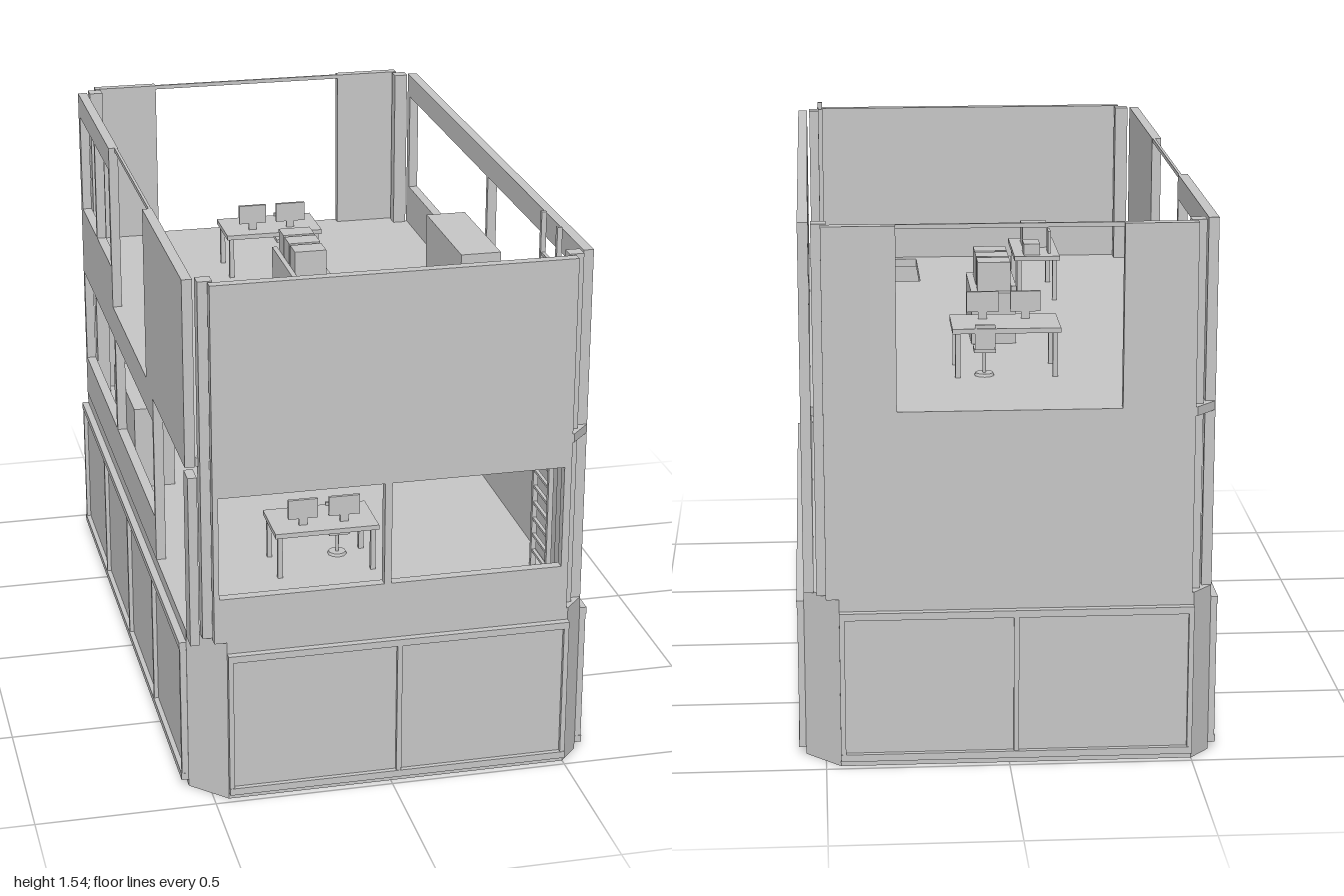
import * as THREE from 'three';

const FLOOR1 = 0.48, FLOOR2 = 1.0, TOP = 1.5;

export function createModel() {
  const root = new THREE.Group();
  root.name = 'building';
  const grey = new THREE.MeshStandardMaterial({ color: 0xc6c6c6 });
  grey.name = 'grey';

  // box given by its min and max on each axis
  function box(parent, name, x0, x1, y0, y1, z0, z1) {
    const m = new THREE.Mesh(new THREE.BoxGeometry(x1 - x0, y1 - y0, z1 - z0), grey);
    m.position.set((x0 + x1) / 2, (y0 + y1) / 2, (z0 + z1) / 2);
    m.name = name;
    parent.add(m);
    return m;
  }
  function group(name, parent = root) {
    const g = new THREE.Group();
    g.name = name;
    parent.add(g);
    return g;
  }
  const rect = (C, u0, u1, v0, v1) => {
    const p = new C();
    p.moveTo(u0, v0); p.lineTo(u1, v0); p.lineTo(u1, v1); p.lineTo(u0, v1); p.closePath();
    return p;
  };

  // upright wall with rectangular holes; side walls run along z
  function wall(name, u, v, holes, outer, alongZ) {
    const s = rect(THREE.Shape, u[0], u[1], v[0], v[1]);
    holes.forEach(h => s.holes.push(rect(THREE.Path, ...h)));
    const m = new THREE.Mesh(new THREE.ExtrudeGeometry(s, { depth: 0.028, bevelEnabled: false }), grey);
    if (alongZ) { m.rotation.y = -Math.PI / 2; m.position.x = outer; }
    else m.position.z = outer - 0.028;
    m.name = name;
    root.add(m);
  }

  // chamfered footprint, two corners cut wider than the others
  function plate(name, y0, y1, hole) {
    const pts = [[0.5, 0.98], [0.555, 0.92], [0.555, -0.885], [0.46, -0.98],
      [-0.5, -0.98], [-0.555, -0.92], [-0.555, 0.885], [-0.46, 0.98]];
    const s = new THREE.Shape(pts.map(p => new THREE.Vector2(...p)));
    if (hole) s.holes.push(rect(THREE.Path, ...hole));
    const m = new THREE.Mesh(new THREE.ExtrudeGeometry(s, { depth: y1 - y0, bevelEnabled: false }), grey);
    m.rotation.x = Math.PI / 2;
    m.position.y = y1;
    m.name = name;
    root.add(m);
  }
  plate('base', 0, FLOOR1);
  plate('upperFloor', 0.975, FLOOR2, [0.175, 0.505, 0.59, 0.925]);

  // framed panels round the base, repeated by a half turn
  for (let k = 0; k < 2; k++) {
    const g = group(k ? 'backAndRightFrames' : 'frontAndLeftFrames');
    g.rotation.y = k * Math.PI;
    for (const [a, b] of [[0.02, 0.04], [0.425, 0.445]]) {
      box(g, 'endRail', -0.46, 0.5, a, b, 0.975, 1);
      box(g, 'sideRail', 0.55, 0.575, a, b, -0.885, 0.92);
    }
    for (const x of [-0.453, 0.018, 0.493]) box(g, 'endStile', x - 0.007, x + 0.007, 0.02, 0.445, 0.975, 0.998);
    for (const z of [-0.877, -0.422, 0.02, 0.467, 0.912])
      box(g, 'sideStile', 0.55, 0.573, 0.02, 0.445, z - 0.007, z + 0.007);
    box(g, 'endPanel', -0.45, 0.49, 0.03, 0.435, 0.975, 0.986);
    box(g, 'sidePanel', 0.55, 0.561, 0.03, 0.435, -0.88, 0.915);
  }

  // outer walls
  wall('frontWall', [-0.495, 0.495], [FLOOR1, TOP],
    [[-0.48, -0.025, 0.61, 0.905], [-0.005, 0.475, 0.61, 0.905]], 0.983);
  wall('leftWall', [-0.92, 0.92], [FLOOR1, TOP],
    [[-0.89, 0.002, 1.125, 1.43], [0.018, 0.9, 1.125, 1.43]], 0.555, true);
  wall('backLowerWall', [-0.495, 0.495], [FLOOR1, FLOOR2], [], -0.955);
  wall('backUpperWall', [-0.495, -0.3], [FLOOR2, TOP], [], -0.955);
  wall('backUpperWall', [0.3, 0.495], [FLOOR2, TOP], [], -0.955);
  box(root, 'backLintel', -0.3, 0.3, 1.488, TOP, -0.965, -0.957);
  wall('rightLowerWall', [-0.92, 0.42], [FLOOR1, FLOOR2],
    [[-0.9, -0.28, 0.61, 0.905], [-0.262, 0.405, 0.61, 0.905]], -0.528, true);
  wall('rightUpperWall', [-0.92, -0.292], [FLOOR2, TOP],
    [[-0.89, -0.6, 1.125, 1.43], [-0.584, -0.31, 1.125, 1.43]], -0.528, true);
  wall('rightUpperWall', [0.31, 0.92], [0.975, TOP], [], -0.528, true);
  box(root, 'rightLintel', -0.538, -0.53, 1.488, TOP, -0.292, 0.31);
  box(root, 'openDoorEdge', -0.56, -0.535, FLOOR1, 0.97, 0.92, 0.98);

  // corner columns
  for (const x of [-0.5, 0.5]) for (const z of [-0.925, 0.925])
    box(root, 'cornerColumn', x - 0.02, x + 0.02, FLOOR1, TOP, z - 0.02, z + 0.02);

  // ladder through the hatch
  const ladder = group('ladder');
  for (const z of [0.693, 0.833]) box(ladder, 'ladderRail', 0.478, 0.492, FLOOR1, 1.54, z - 0.007, z + 0.007);
  for (let y = 0.53; y < 1.45; y += 0.0495) box(ladder, 'rung', 0.48, 0.49, y - 0.004, y + 0.004, 0.695, 0.83);

  // furniture, each built round its own floor centre
  function place(name, x, y, z, turn = 0) {
    const g = group(name);
    g.position.set(x, y, z);
    g.rotation.y = turn;
    return g;
  }
  function desk(g, w, d) {
    box(g, 'deskTop', -w / 2, w / 2, 0.126, 0.14, -d / 2, d / 2);
    for (const sx of [-1, 1]) for (const sz of [-1, 1]) {
      const x = sx * (w / 2 - 0.015), z = sz * (d / 2 - 0.015);
      box(g, 'deskLeg', x - 0.007, x + 0.007, 0, 0.126, z - 0.007, z + 0.007);
    }
  }
  function chair(g, x, z) {
    const post = new THREE.Mesh(new THREE.CylinderGeometry(0.005, 0.005, 0.07, 8), grey);
    post.position.set(x, 0.035, z);
    post.name = 'chairPost';
    g.add(post);
    const foot = new THREE.Mesh(new THREE.CylinderGeometry(0.025, 0.028, 0.008, 10), grey);
    foot.position.set(x, 0.004, z);
    foot.name = 'chairFoot';
    g.add(foot);
    box(g, 'chairSeat', x - 0.03, x + 0.03, 0.07, 0.08, z - 0.03, z + 0.03);
    box(g, 'chairBack', x - 0.028, x + 0.028, 0.08, 0.15, z - 0.034, z - 0.027);
  }
  function screen(g, x, z, w) {
    box(g, 'screen', x - w / 2, x + w / 2, 0.16, 0.218, z - 0.005, z + 0.005);
    box(g, 'screenStand', x - 0.012, x + 0.012, 0.14, 0.165, z - 0.005, z + 0.005);
  }
  function doubleDesk(x, y, z) {
    const g = place('doubleDesk', x, y, z);
    desk(g, 0.3, 0.175);
    screen(g, -0.06, 0.035, 0.085);
    screen(g, 0.06, 0.035, 0.09);
    chair(g, 0.06, -0.05);
  }
  function singleDesk(x, y, z) {
    const g = place('printerDesk', x, y, z);
    desk(g, 0.14, 0.28);
    box(g, 'printer', -0.045, 0.035, 0.14, 0.205, -0.005, 0.1);
    box(g, 'tray', -0.01, 0.04, 0.14, 0.175, -0.12, -0.045);
    box(g, 'smallScreen', -0.045, -0.037, 0.14, 0.21, -0.1, -0.045);
  }
  function rack(x, y, z) {
    const g = place('rack', x, y, z);
    box(g, 'rackBody', -0.065, 0.065, 0, 0.15, -0.14, 0.14);
    box(g, 'rackBack', -0.065, -0.05, 0.15, 0.17, -0.14, 0.14);
    for (const c of [-0.08, 0, 0.08]) box(g, 'rackUnit', -0.05, 0.045, 0.15, 0.235, c - 0.033, c + 0.033);
  }
  const cabinet = (x, y, z, turn) =>
    box(place('cabinet', x, y, z, turn), 'cabinetBody', -0.06, 0.06, 0, 0.255, -0.195, 0.195);

  // upper storey
  doubleDesk(-0.015, FLOOR2, -0.557);
  singleDesk(-0.175, FLOOR2, 0.43);
  rack(-0.005, FLOOR2, -0.11);
  cabinet(0.46, FLOOR2, -0.003, 0);
  // lower storey
  doubleDesk(-0.1, FLOOR1, 0.54);
  singleDesk(-0.328, FLOOR1, -0.7);
  rack(-0.005, FLOOR1, -0.15);
  cabinet(-0.468, FLOOR1, -0.3, 0);
  cabinet(-0.005, FLOOR1, -0.88, Math.PI / 2);

  return root;
}
